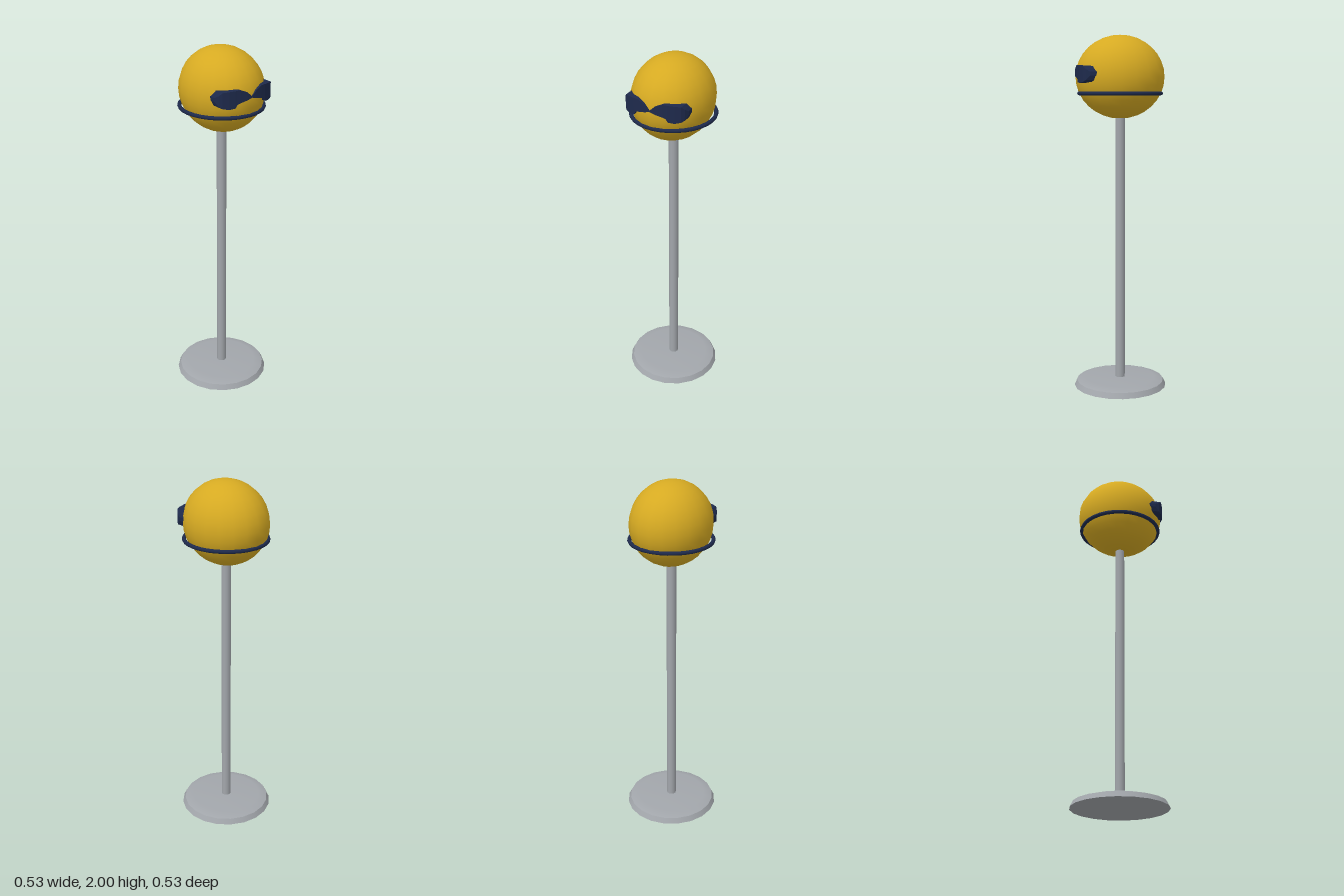
import * as THREE from 'three';

const mat = (name, color) => {
  const m = new THREE.MeshStandardMaterial({ color });
  m.name = name;
  return m;
};

// Curved plate lofted from upright rectangular sections: [x, yLow, yHigh, zFront]
function maskGeometry(sections, depth, side) {
  const pos = [];
  const quad = (a, b, c, d) => {
    const tri = side > 0 ? [a, b, c, a, c, d] : [a, c, b, a, d, c];
    tri.forEach((p) => pos.push(p[0] * side, p[1], p[2]));
  };
  const rings = sections.map(([x, lo, hi, z]) => [
    [x, lo, z], [x, hi, z], [x, hi, z - depth], [x, lo, z - depth],
  ]);
  for (let i = 0; i < rings.length - 1; i++) {
    for (let j = 0; j < 4; j++) {
      const k = (j + 1) % 4;
      quad(rings[i][j], rings[i + 1][j], rings[i + 1][k], rings[i][k]);
    }
  }
  const end = rings[rings.length - 1];
  quad(end[0], end[3], end[2], end[1]);
  const g = new THREE.BufferGeometry();
  g.setAttribute('position', new THREE.Float32BufferAttribute(pos, 3));
  g.computeVertexNormals();
  return g;
}

export function createModel() {
  const model = new THREE.Group();
  const yellow = mat('yellow', 0xd6aa22);
  const navy = mat('navy', 0x1e2a4c);
  const grey = mat('grey', 0xa2a6ab);

  const add = (name, geometry, material, y = 0) => {
    const mesh = new THREE.Mesh(geometry, material);
    mesh.name = name;
    mesh.position.y = y;
    model.add(mesh);
    return mesh;
  };

  // Round foot: sloped rim and a gently domed top
  add('baseRim', new THREE.CylinderGeometry(0.25, 0.265, 0.03, 20), grey, 0.015);
  add('baseTop', new THREE.LatheGeometry(
    [[0.25, 0.03], [0.2, 0.045], [0, 0.046]].map(([r, y]) => new THREE.Vector2(r, y)), 20), grey);

  // Pole
  add('pole', new THREE.CylinderGeometry(0.027, 0.027, 1.53, 12), grey, 0.805);

  // Slightly elongated head
  const head = add('head', new THREE.SphereGeometry(1, 20, 16), yellow, 1.77);
  head.scale.set(0.22, 0.23, 0.248);

  // Thin band around the lower head
  const band = add('band', new THREE.TorusGeometry(0.224, 0.011, 8, 32), navy, 1.68);
  band.rotation.x = Math.PI / 2;
  band.scale.y = 1.02;

  // Mirrored halves of the mask
  const half = [
    [0, 1.781, 1.788, 0.25],
    [0.03, 1.772, 1.815, 0.249],
    [0.07, 1.764, 1.832, 0.243],
    [0.088, 1.758, 1.832, 0.239],
    [0.098, 1.74, 1.831, 0.237],
    [0.13, 1.736, 1.829, 0.226],
    [0.16, 1.742, 1.826, 0.21],
    [0.172, 1.75, 1.81, 0.195],
    [0.181, 1.775, 1.795, 0.17],
  ];
  for (const side of [1, -1]) {
    add(side > 0 ? 'leftMask' : 'rightMask', maskGeometry(half, 0.06, side), navy);
  }
  return model;
}
